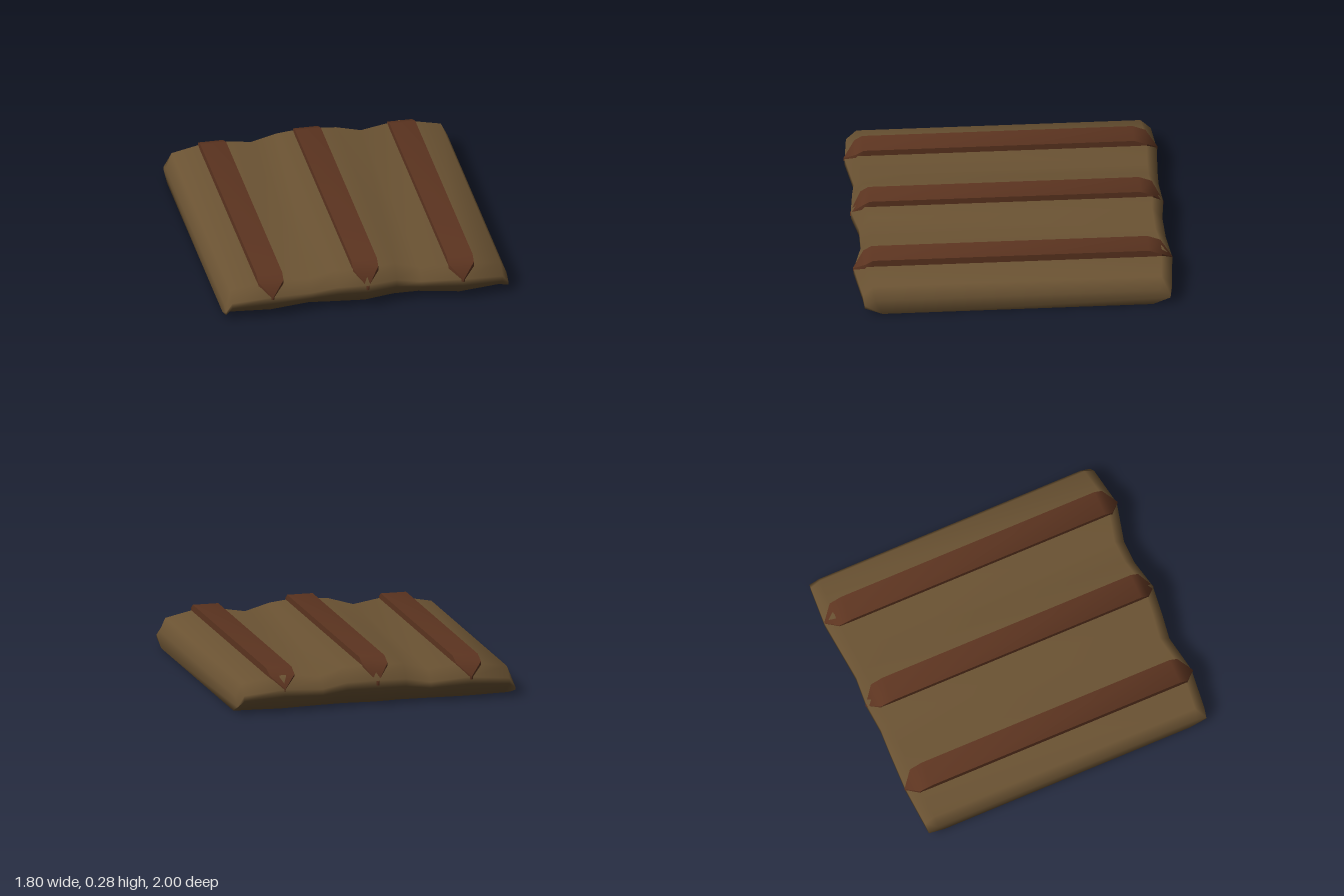
import * as THREE from 'three';
import { toCreasedNormals } from 'three/addons/utils/BufferGeometryUtils.js';

// Skin a list of closed rings (each an array of [x, y, z]) and cap both ends.
function loft(rings) {
  const n = rings[0].length, pos = [], idx = [];
  rings.forEach(r => r.forEach(p => pos.push(...p)));
  for (let i = 0; i < rings.length - 1; i++) {
    for (let j = 0; j < n; j++) {
      const k = (j + 1) % n, a = i * n, b = a + n;
      idx.push(a + j, b + j, b + k, a + j, b + k, a + k);
    }
  }
  const last = (rings.length - 1) * n;
  for (let j = 1; j < n - 1; j++) {
    idx.push(0, j, j + 1, last, last + j + 1, last + j);
  }
  const g = new THREE.BufferGeometry();
  g.setAttribute('position', new THREE.Float32BufferAttribute(pos, 3));
  g.setIndex(idx);
  g.computeVertexNormals();
  return g;
}

// Wavy slab: [x, top height, front z, back z]
const COLUMNS = [
  [-0.9, 0.085, 0.94, -0.95], [-0.86, 0.18, 0.945, -0.96], [-0.6, 0.225, 0.97, -0.98],
  [-0.35, 0.195, 0.93, -0.97], [-0.19, 0.24, 0.95, -0.965], [0, 0.25, 0.97, -0.98],
  [0.19, 0.24, 0.93, -0.965], [0.35, 0.195, 0.93, -0.975], [0.6, 0.225, 0.99, -1],
  [0.86, 0.18, 0.95, -0.98], [0.9, 0.1, 0.94, -0.97],
];
// Rim of the slab: [inset from the end, fraction of the height]
const RIM = [[0.11, 0], [0, 0.45], [0, 0.65], [0.065, 1]];

function slabGeometry() {
  return loft(COLUMNS.map(([x, top, front, back]) => [
    ...RIM.map(([inset, f]) => [x, top * f, front - inset]),
    ...[...RIM].reverse().map(([inset, f]) => [x, top * f, back + inset]),
  ]));
}

// Rib with chamfered, pointed ends that fold down over the rim
function ribGeometry(x, top, front, back) {
  const ring = (z, w, t) => [[x - w, 0.13, z], [x - w, t, z], [x + w, t, z], [x + w, 0.13, z]];
  const shoulder = top - 0.03;
  return toCreasedNormals(loft([
    ring(back, 0.003, 0.15),
    ring(back + 0.07, 0.08, shoulder),
    ring(back + 0.15, 0.082, top),
    ring(front - 0.12, 0.082, top),
    ring(front - 0.07, 0.08, shoulder),
    ring(front, 0.003, 0.15),
  ]), 0.8);
}

export function createModel() {
  const model = new THREE.Group();
  model.name = 'ribbedPanel';

  const add = (name, geometry, color) => {
    const mesh = new THREE.Mesh(geometry, new THREE.MeshStandardMaterial({ color }));
    mesh.name = name;
    model.add(mesh);
  };

  add('slab', slabGeometry(), 0x6b5333);
  add('rightRib', ribGeometry(-0.607, 0.255, 0.975, -0.985), 0x5c3420);
  add('centreRib', ribGeometry(-0.003, 0.285, 0.975, -0.985), 0x5c3420);
  add('leftRib', ribGeometry(0.602, 0.255, 0.995, -1), 0x5c3420);
  return model;
}
